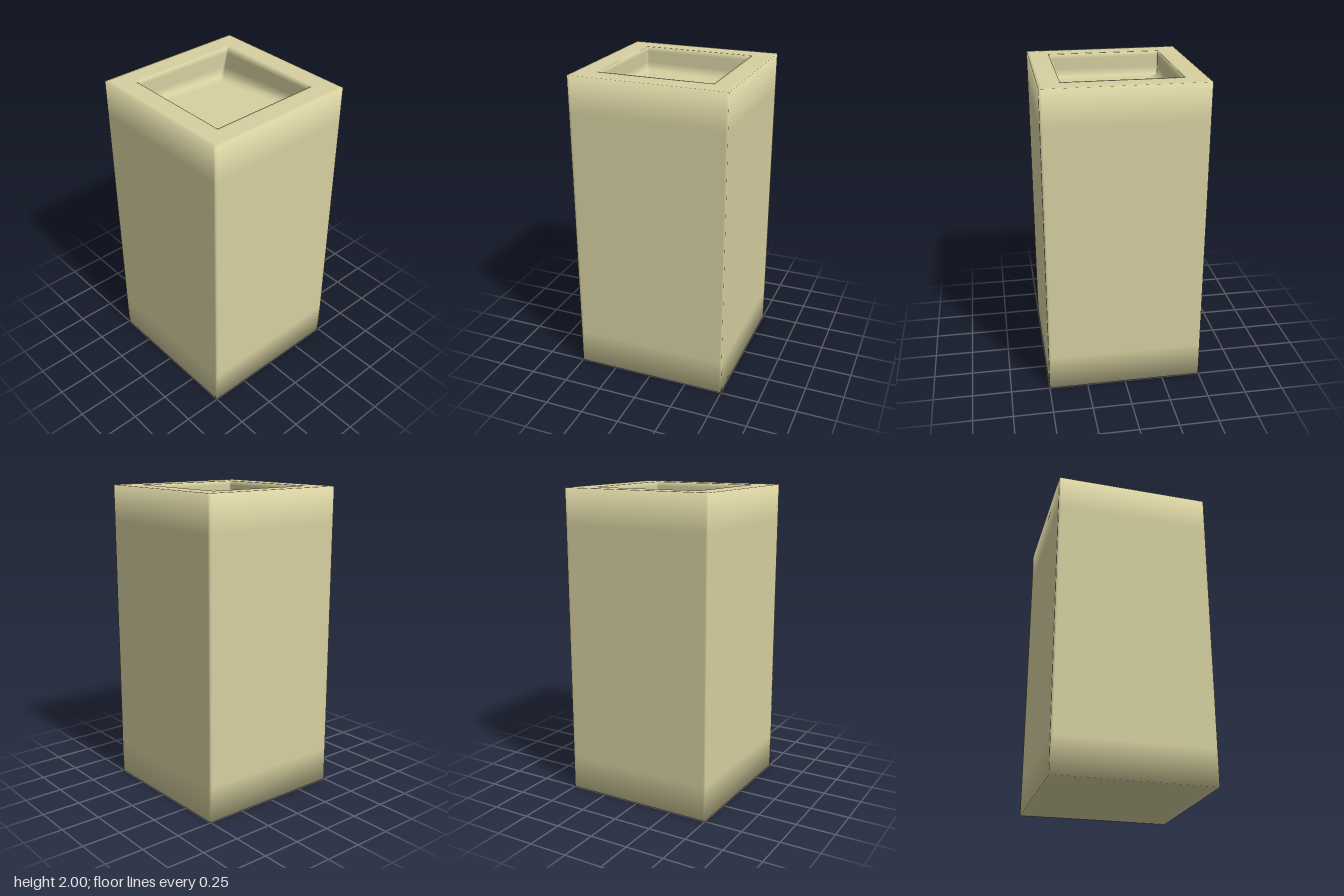
import * as THREE from 'three';

// Square rings from the underside centre, up the sides, over the rim and down into the recess:
// [half width, y, outward normal, upward normal, skew of the recess corner]
const RINGS = [
  [0, 0, 0, -1, 0], [0.48, 0, 0, -1, 0],
  [0.5, 0, 1, -1, 0], [0.5, 0.23, 1, 0, 0],
  [0.5, 1.77, 1, 0, 0], [0.5, 2, 1, 1, 0],
  [0.48, 2, 0, 1, 0], [0.38, 2, 0, 1, 0],
  [0.365, 2, -1, 1, 0], [0.365, 1.97, -1, 0, 0.2],
  [0.365, 1.9, -1, 0, 0.65], [0.365, 1.845, -1, 1, 1],
  [0.3, 1.845, 0, 1, 0.82], [0, 1.845, 0, 1, 0],
];

// Unit square outline with close support points beside each corner
function squareOutline(inset) {
  const points = [];
  for (let k = 0; k < 4; k++) {
    for (const [x, z, nx] of [[-1, 1, -1], [-1 + inset, 1, 0], [1 - inset, 1, 0]]) {
      let p = [x, z, nx, 1];
      for (let i = 0; i < k; i++) p = [p[1], -p[0], p[3], -p[2]];
      points.push(p);
    }
  }
  return points;
}

function pillarGeometry() {
  const outline = squareOutline(0.03);
  const n = outline.length;
  const positions = [], normals = [], index = [];
  const normal = new THREE.Vector3();
  RINGS.forEach(([half, y, out, up, skew], r) => {
    outline.forEach(([x, z, nx, nz], i) => {
      // one corner of the recess floor is pulled inwards
      const w = skew * (x + 1) * (1 - z) / 4;
      positions.push(x * half - 0.1 * w, y, z * half + 0.055 * w);
      const len = Math.hypot(nx, nz);
      normal.set(out * nx / len, up, out * nz / len).normalize();
      normals.push(normal.x, normal.y, normal.z);
      if (r === RINGS.length - 1) return;
      const a = r * n + i, b = r * n + (i + 1) % n;
      index.push(a, b, b + n, a, b + n, a + n);
    });
  });
  const geometry = new THREE.BufferGeometry();
  geometry.setAttribute('position', new THREE.Float32BufferAttribute(positions, 3));
  geometry.setAttribute('normal', new THREE.Float32BufferAttribute(normals, 3));
  geometry.setIndex(index);
  return geometry;
}

export function createModel() {
  const group = new THREE.Group();
  group.name = 'recessedPillar';
  const material = new THREE.MeshStandardMaterial({ color: 0xd6d0a0 });
  const pillar = new THREE.Mesh(pillarGeometry(), material);
  pillar.name = 'pillar';
  group.add(pillar);
  return group;
}
